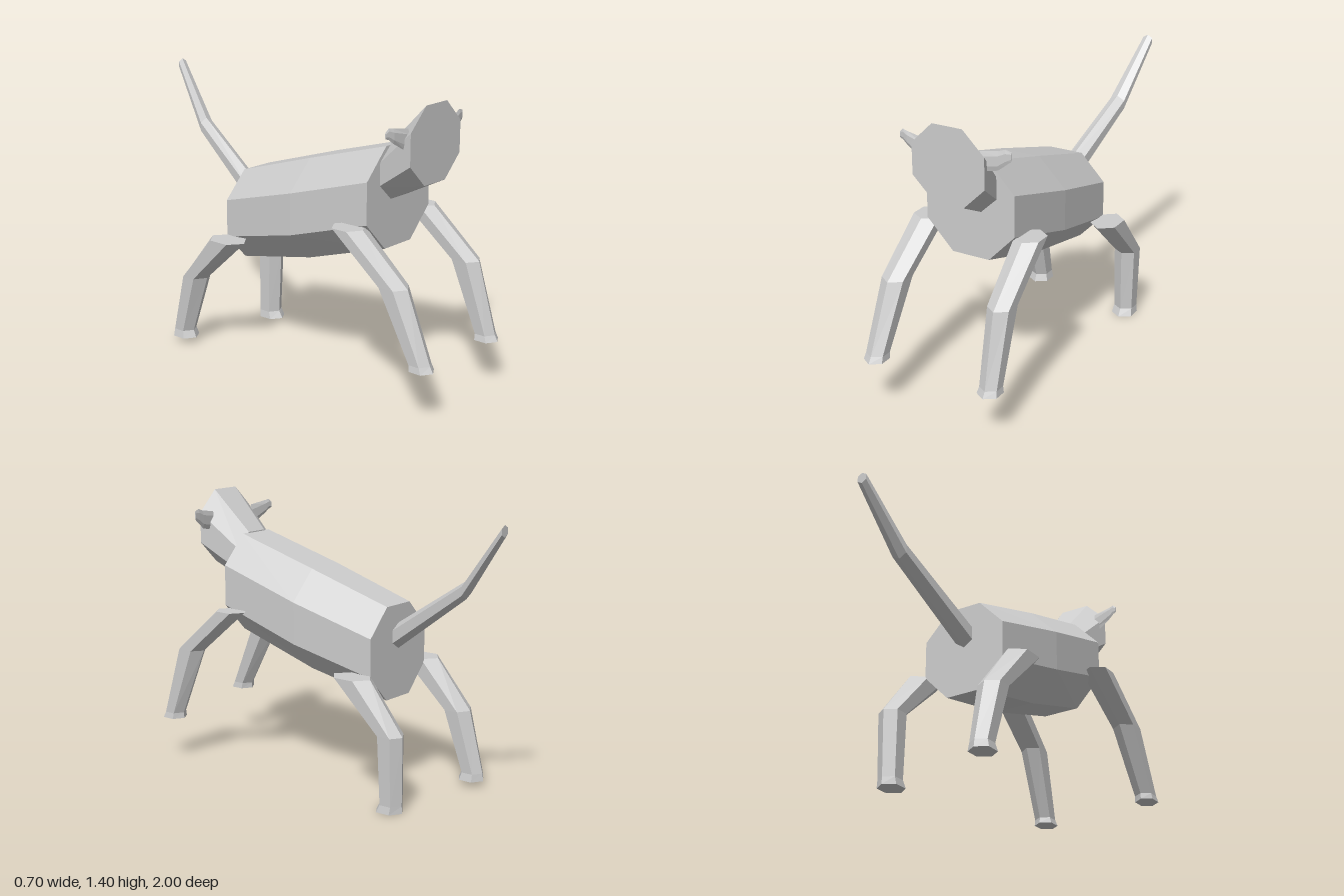
import * as THREE from 'three';

const grey = new THREE.MeshStandardMaterial({ color: 0xcccccc, flatShading: true });
grey.name = 'plain grey';

// Ring makers: regular polygons cut square to one axis.
function ring(n, phase, place) {
  return Array.from({ length: n }, (_, i) => {
    const a = phase + (i / n) * Math.PI * 2;
    return place(Math.cos(a), Math.sin(a));
  });
}
const K = 1 / Math.cos(Math.PI / 8);
const octZ = (z, cx, cy, rx, ry) =>
  ring(8, Math.PI / 8, (c, s) => [cx + rx * K * c, cy + ry * K * s, z]);
const hexZ = (z, cx, cy, rx, ry) =>
  ring(6, Math.PI / 2, (c, s) => [cx + (rx / 0.866) * c, cy + ry * s, z]);
const hexY = (y, cx, cz, rx, rz) =>
  ring(6, 0, (c, s) => [cx + (rx / 0.866) * s, y, cz + rz * c]);
const hexX = (x, cy, cz, ry, rz) =>
  ring(6, 0, (c, s) => [x, cy + ry * c, cz + rz * s]);

// Skins rings, listed in the positive direction of their axis, and caps both ends.
function loft(name, rings) {
  const n = rings[0].length;
  const index = [];
  for (let r = 0; r < rings.length - 1; r++) {
    for (let i = 0; i < n; i++) {
      const j = (i + 1) % n;
      const a = r * n + i, b = r * n + j;
      index.push(a, b, b + n, a, b + n, a + n);
    }
  }
  const last = (rings.length - 1) * n;
  for (let i = 1; i < n - 1; i++) {
    index.push(0, i + 1, i, last, last + i, last + i + 1);
  }
  const indexed = new THREE.BufferGeometry();
  indexed.setAttribute('position', new THREE.Float32BufferAttribute(rings.flat(2), 3));
  indexed.setIndex(index);
  const geometry = indexed.toNonIndexed();
  geometry.computeVertexNormals();
  const mesh = new THREE.Mesh(geometry, grey);
  mesh.name = name;
  return mesh;
}

export function createModel() {
  const model = new THREE.Group();
  model.name = 'fourLeggedAnimal';

  // Barrel body sloping down to the rump
  model.add(loft('body', [
    octZ(-0.34, 0, 0.695, 0.22, 0.228),
    octZ(0.11, -0.003, 0.81, 0.247, 0.25),
    octZ(0.565, -0.003, 0.945, 0.235, 0.245),
  ]));

  // Head flaring to a flat face
  model.add(loft('head', [
    octZ(0.56, -0.003, 1.062, 0.14, 0.132),
    octZ(0.76, 0.01, 1.215, 0.188, 0.185),
  ]));

  // Thin ears swept slightly back
  model.add(loft('leftEar', [
    hexX(0.15, 1.25, 0.717, 0.048, 0.008),
    hexX(0.235, 1.265, 0.707, 0.045, 0.008),
    hexX(0.27, 1.285, 0.702, 0.037, 0.006),
    hexX(0.298, 1.292, 0.698, 0.022, 0.003),
  ]));
  model.add(loft('rightEar', [
    hexX(-0.28, 1.29, 0.699, 0.015, 0.003),
    hexX(-0.262, 1.295, 0.702, 0.026, 0.005),
    hexX(-0.235, 1.282, 0.707, 0.034, 0.008),
    hexX(-0.14, 1.248, 0.717, 0.055, 0.008),
  ]));

  // Raised tail
  model.add(loft('tail', [
    hexZ(-1.0, 0.13, 1.348, 0.025, 0.028),
    hexZ(-0.77, 0.073, 1.053, 0.04, 0.043),
    hexZ(-0.335, -0.003, 0.768, 0.047, 0.063),
  ]));

  // Legs, from sole to shoulder or hip: [y, x, z, half width, half depth]
  const legs = {
    frontLeftLeg: [
      [0.22, 0.29, 0.885, 0.052, 0.066], [0.25, 0.291, 0.878, 0.046, 0.056],
      [0.6, 0.281, 0.757, 0.056, 0.08], [0.83, 0.273, 0.487, 0.063, 0.085],
    ],
    frontRightLeg: [
      [0.255, -0.295, 0.934, 0.051, 0.066], [0.285, -0.294, 0.925, 0.047, 0.057],
      [0.61, -0.284, 0.762, 0.059, 0.08], [0.83, -0.272, 0.487, 0.068, 0.085],
    ],
    hindLeftLeg: [
      [0, 0.28, -0.5, 0.056, 0.073], [0.037, 0.28, -0.51, 0.05, 0.061],
      [0.37, 0.284, -0.505, 0.056, 0.07], [0.612, 0.278, -0.275, 0.068, 0.108],
    ],
    hindRightLeg: [
      [0.03, -0.281, -0.59, 0.056, 0.071], [0.068, -0.281, -0.595, 0.048, 0.06],
      [0.375, -0.278, -0.505, 0.062, 0.073], [0.612, -0.28, -0.275, 0.07, 0.108],
    ],
  };
  for (const [name, rows] of Object.entries(legs)) {
    model.add(loft(name, rows.map((row) => hexY(...row))));
  }

  return model;
}
